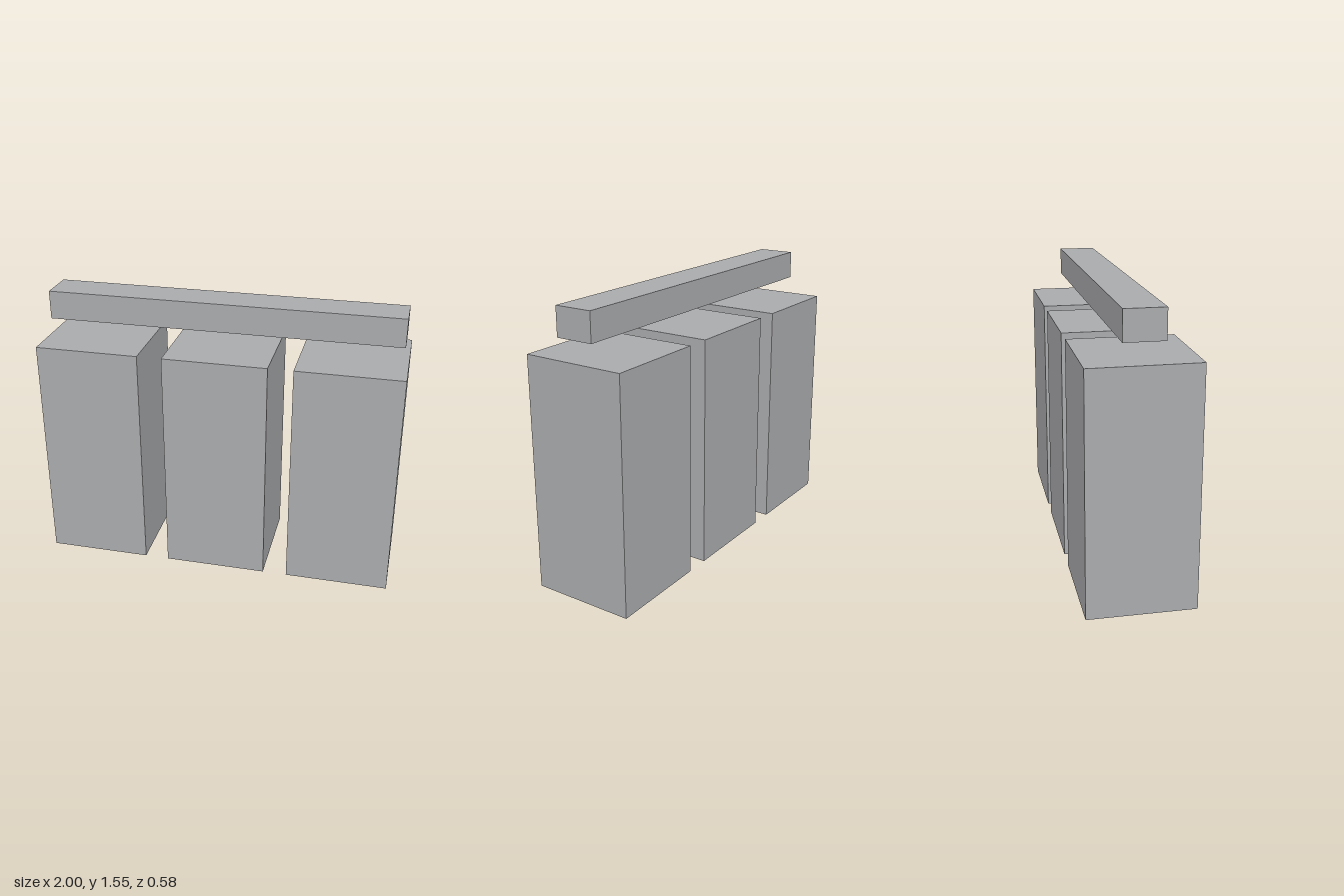
import * as THREE from 'three';

export function createModel() {
  const model = new THREE.Group();
  const grey = new THREE.MeshStandardMaterial({ color: 0xaaabad });
  grey.name = 'grey';

  // Adds a box whose underside sits at the given height
  const addBox = (name, width, height, depth, x, bottom) => {
    const mesh = new THREE.Mesh(new THREE.BoxGeometry(width, height, depth), grey);
    mesh.name = name;
    mesh.position.set(x, bottom + height / 2, 0);
    model.add(mesh);
  };

  // Three square pillars in a row
  const pillars = { rightPillar: -0.712, middlePillar: 0, leftPillar: 0.712 };
  for (const [name, x] of Object.entries(pillars)) {
    addBox(name, 0.576, 1.29, 0.576, x, 0);
  }

  // Long beam floating above the pillars
  addBox('beam', 1.952, 0.158, 0.211, 0, 1.395);

  return model;
}
